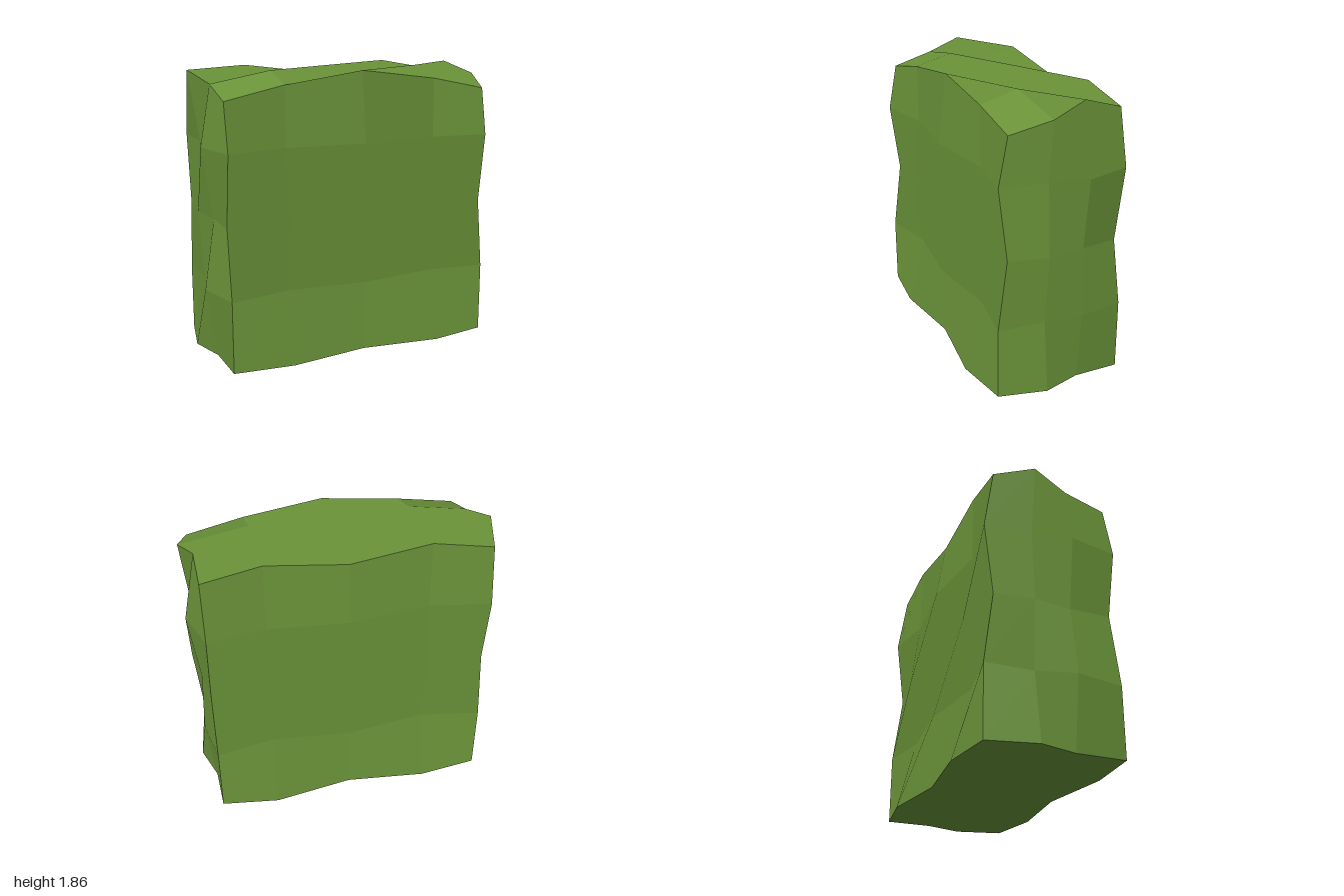
import * as THREE from 'three';

// Grid lines of the block
const XS = [-0.93, -0.53, 0, 0.53, 0.91];
const YS = [0, 0.47, 0.93, 1.4, 1.86];
const ZS = [-0.43, -0.13, 0.12, 0.43];

// Depth of the foot along x
const FOOT_DEPTH = [0.45, 0.49, 0.42, 0.49, 0.43];

// Bulges of the two inner columns on each side, back column first, listed upwards
const LEFT_BULGE = [[0.91, 0.96, 0.94, 1.0, 0.91], [0.985, 0.93, 0.975, 0.945, 0.985]];
const RIGHT_BULGE = [[1.0, 0.93, 0.96, 0.93, 1.0], [0.93, 1.0, 0.93, 1.0, 0.93]];

function place(i, j, k) {
  const sideX = i === 0 || i === 4;
  const sideZ = k === 0 || k === 3;
  let x = XS[i], y = YS[j], z = ZS[k];

  // Side faces swell between the corner columns
  if (sideX && !sideZ) x = i === 4 ? LEFT_BULGE[k - 1][j] : -RIGHT_BULGE[k - 1][j];

  // Front and back are dented in a checker pattern, wide at the foot, narrow at the top
  if (sideZ) {
    let depth = (i + j) % 2 === 1 && j < 4 ? 0.43 : 0.37;
    if (j === 0) depth = FOOT_DEPTH[i];
    else if (i === 0) depth += 0.02;
    z = k === 3 ? depth : -depth;
  }

  // Checkered top with lower front corners
  if (j === 4) {
    if (sideX && k === 3) y = 1.71;
    else if ((i + k) % 2 === 0) y = 1.79;
  }
  return [x, y, z];
}

// One shared normal for the two triangles of each grid cell
function shadePerCell(geometry) {
  geometry.computeVertexNormals();
  const normals = geometry.attributes.normal;
  const a = new THREE.Vector3(), b = new THREE.Vector3();
  for (let n = 0; n < normals.count; n += 6) {
    a.fromBufferAttribute(normals, n).add(b.fromBufferAttribute(normals, n + 3)).normalize();
    for (let m = 0; m < 6; m++) normals.setXYZ(n + m, a.x, a.y, a.z);
  }
}

export function createModel() {
  const leafGreen = new THREE.MeshStandardMaterial({ color: 0x6a9339 });
  leafGreen.name = 'leafGreen';

  // Segmented box whose grid points are moved by the rule above
  const geometry = new THREE.BoxGeometry(4, 4, 3, 4, 4, 3).toNonIndexed();
  const p = geometry.attributes.position;
  for (let n = 0; n < p.count; n++) {
    const i = Math.round(p.getX(n) + 2);
    const j = Math.round(p.getY(n) + 2);
    const k = Math.round(p.getZ(n) + 1.5);
    p.setXYZ(n, ...place(i, j, k));
  }
  shadePerCell(geometry);

  const hedge = new THREE.Mesh(geometry, leafGreen);
  hedge.name = 'hedgeBlock';
  const group = new THREE.Group();
  group.name = 'hedge';
  group.add(hedge);
  return group;
}
